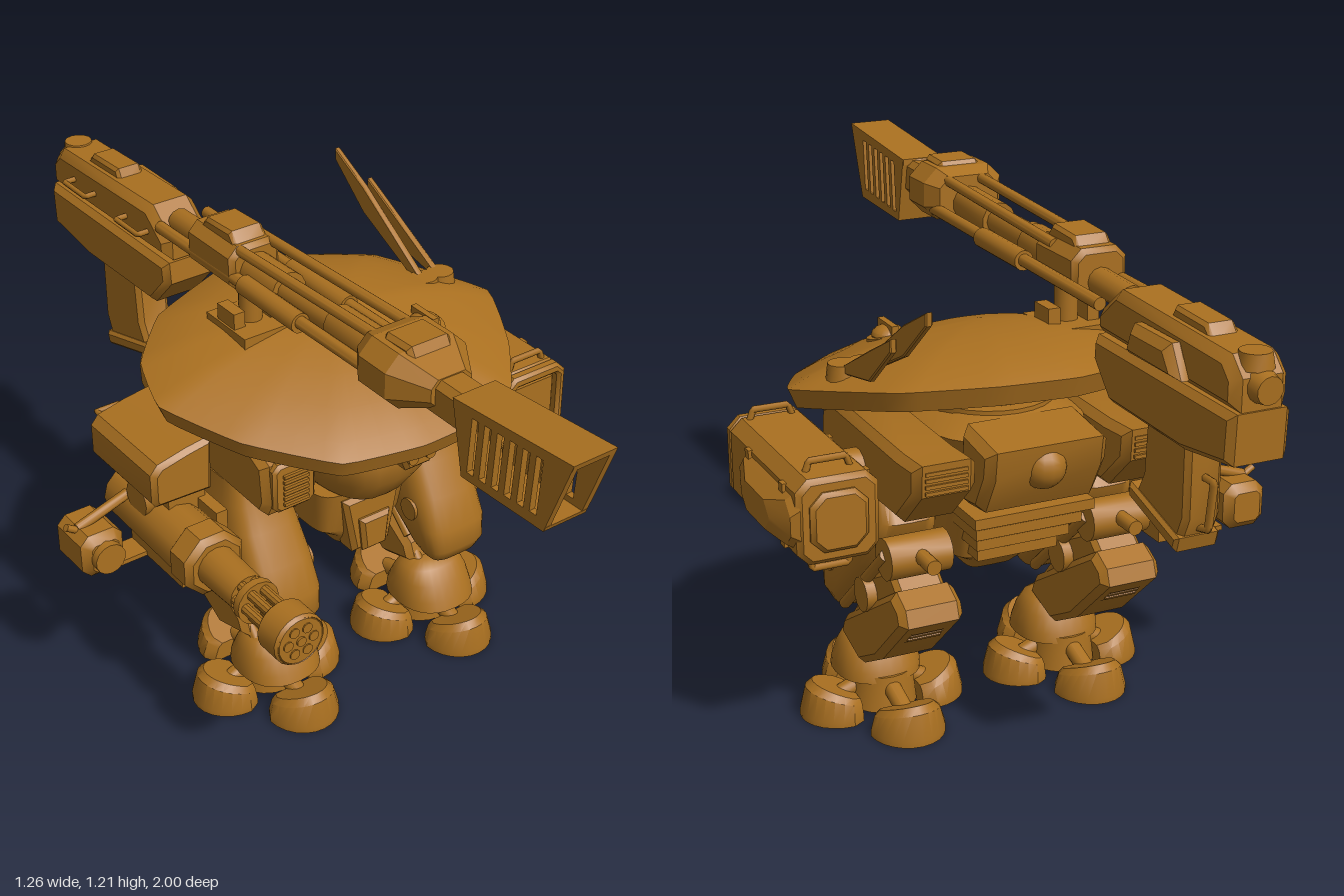
import * as THREE from 'three';
import { toCreasedNormals } from 'three/addons/utils/BufferGeometryUtils.js';

const bronze = new THREE.MeshStandardMaterial({ color: 0xaa7020 });
bronze.name = 'bronze';
const V = (p) => new THREE.Vector3(...p);

function add(parent, name, geo, crease = 0.6) {
  const m = new THREE.Mesh(crease ? toCreasedNormals(geo, crease) : geo, bronze);
  m.name = name;
  parent.add(m);
  return m;
}
function group(parent, name, x = 0, y = 0, z = 0) {
  const g = new THREE.Group();
  g.name = name;
  g.position.set(x, y, z);
  parent.add(g);
  return g;
}
function box(parent, name, x0, x1, y0, y1, z0, z1) {
  const g = new THREE.BoxGeometry(x1 - x0, y1 - y0, z1 - z0);
  return add(parent, name, g.translate((x0 + x1) / 2, (y0 + y1) / 2, (z0 + z1) / 2), 0);
}
function extrude(pts, depth, bevel, holes) {
  const toV = (l) => l.map((p) => new THREE.Vector2(...p));
  const s = new THREE.Shape(toV(pts));
  holes.forEach((h) => s.holes.push(new THREE.Path(toV(h))));
  return new THREE.ExtrudeGeometry(s, { depth: depth - 2 * bevel, bevelEnabled: bevel > 0, bevelSize: bevel,
    bevelThickness: bevel, bevelOffset: -bevel, bevelSegments: 1 }).translate(0, 0, bevel);
}
// Outline in (x, y), running along z
const frontExt = (parent, name, pts, z0, z1, bevel = 0, holes = []) =>
  add(parent, name, extrude(pts, z1 - z0, bevel, holes).translate(0, 0, z0));
// Outline in (z, y), running along x
const sideExt = (parent, name, pts, x0, x1, bevel = 0, holes = []) =>
  add(parent, name, extrude(pts, x1 - x0, bevel, holes).rotateY(-Math.PI / 2).translate(x1, 0, 0));
// Round bar between two points
function rod(parent, name, a, b, r, r2 = r, n = 14) {
  const d = V(b).sub(V(a));
  const g = new THREE.CylinderGeometry(r2, r, d.length(), n);
  g.applyQuaternion(new THREE.Quaternion().setFromUnitVectors(new THREE.Vector3(0, 1, 0), d.normalize()));
  const c = V(a).add(V(b)).multiplyScalar(0.5);
  return add(parent, name, g.translate(c.x, c.y, c.z));
}
// Bent bar through several points
function handle(parent, name, pts, r = 0.007) {
  const path = new THREE.CurvePath();
  for (let i = 1; i < pts.length; i++) path.add(new THREE.LineCurve3(V(pts[i - 1]), V(pts[i])));
  add(parent, name, new THREE.TubeGeometry(path, 24, r, 6), 0);
}
// Skin over matching rings, capped at both ends
function loft(rings) {
  const n = rings[0].length, pos = rings.flat(2), idx = [];
  for (let i = 0; i < rings.length - 1; i++) for (let j = 0; j < n; j++) {
    const a = i * n + j, b = i * n + (j + 1) % n;
    idx.push(a, b, b + n, a, b + n, a + n);
  }
  [0, rings.length - 1].forEach((k) => {
    const c = pos.length / 3;
    [0, 1, 2].forEach((q) => pos.push(rings[k].reduce((s, p) => s + p[q], 0) / n));
    for (let j = 0; j < n; j++) {
      const a = k * n + j, b = k * n + (j + 1) % n;
      idx.push(c, k ? a : b, k ? b : a);
    }
  });
  const g = new THREE.BufferGeometry();
  g.setAttribute('position', new THREE.Float32BufferAttribute(pos, 3));
  g.setIndex(idx);
  return g;
}
// Horizontal rounded ring: height, half width, front z, back z
const ovalRing = ([y, hw, zf, zb], pw = 0.7, n = 28) => Array.from({ length: n }, (_, j) => {
  const t = j / n * Math.PI * 2, f = (v) => Math.sign(v) * Math.abs(v) ** pw;
  return [hw * f(Math.sin(t)), y, (zf + zb) / 2 + (zf - zb) / 2 * f(Math.cos(t))];
});
const ngon = (cx, cy, r, n = 8) => Array.from({ length: n }, (_, j) => {
  const t = (j + 0.5) / n * Math.PI * 2;
  return [cx + r * Math.cos(t), cy + r * Math.sin(t)];
});
const chamfered = (x0, x1, y0, y1, c) => [[x0 + c, y0], [x1 - c, y0], [x1, y0 + c], [x1, y1 - c],
  [x1 - c, y1], [x0 + c, y1], [x0, y1 - c], [x0, y0 + c]];
function slats(parent, x0, x1, y0, y1, z0, z1, n) {
  const h = (y1 - y0) / n;
  for (let i = 0; i < n; i++) box(parent, 'ventSlat', x0, x1, y0 + i * h, y0 + (i + 0.55) * h, z0, z1);
}

function buildShell(root) {
  const g = group(root, 'shell');
  const outline = [[-.435, -.09], [-.34, .1], [-.18, .265], [.02, .305], [.16, .3], [.32, .25], [.43, .11],
    [.515, -.075], [.35, -.32], [.16, -.42], [-.02, -.455], [-.26, -.37], [-.39, -.24]];
  const curve = new THREE.CatmullRomCurve3(outline.map(([x, z]) => V([x, 0, z])), true, 'catmullrom', 0.15);
  const base = curve.getPoints(52).slice(0, 52);
  const cx = 0.04, cz = -0.08;
  const rings = [[.35, -.045], [.8, -.055], [.96, -.046], [1, 0], [.9, .022], [.72, .052], [.5, .077], [.25, .097], [.03, .103]];
  add(g, 'carapace', loft(rings.map(([k, dy]) => base.map((p) => {
    const z = cz + (p.z - cz) * k;
    return [cx + (p.x - cx) * k, 0.844 - 0.178 * z + dy, z];
  }))), 0.7);
  // Roof hatch
  rod(g, 'hatchRing', [.22, .88, .03], [.225, .916, .037], .056, .052, 20);
  add(g, 'hatchDome', new THREE.SphereGeometry(.04, 16, 8).scale(1, .6, 1).translate(.225, .914, .037));
  box(g, 'hatchBar', .217, .233, .91, .944, -.005, .08);
  // Swept-back blade aerials
  [[.355, .49, 1.13], [.405, .42, 1.06]].forEach(([x, l, top]) => {
    rod(g, 'aerialBase', [x, .86, -.13], [x, .922, -.13], .042, .034, 16);
    sideExt(g, 'aerial', [[-.12, .905], [-.17, .905], [-l + .12, top - .13], [-l, top - .03], [-l, top], [-l + .12, top - .06]], x - .008, x + .008, .003);
  });
}

function buildTorso(m) {
  const g = group(m, 'torso');
  rod(g, 'neck', [0, .72, -.12], [0, .84, -.12], .13, .11, 24);
  rod(g, 'neckRing', [0, .775, -.12], [0, .8, -.12], .15, .15, 24);
  add(g, 'hull', loft([[.53, .06, .08, -.22], [.555, .11, .14, -.27], [.62, .15, .185, -.31],
    [.7, .172, .2, -.33], [.755, .2, .16, -.34], [.79, .13, .08, -.28]].map((r) => ovalRing(r))), 0.9);
  add(g, 'pelvis', loft([[.365, .06, .03, -.14], [.4, .08, .05, -.18], [.43, .125, .06, -.22], [.55, .14, .08, -.26]]
    .map((r) => ovalRing(r, .35))), 0.5);
  frontExt(g, 'pelvisPlate', [[-.055, .37], [.055, .37], [.085, .53], [-.085, .53]], .02, .09, .012);
  frontExt(g, 'pelvisRidge', [[-.035, .375], [.035, .375], [.045, .47], [-.045, .47]], .08, .105, .01);
  for (let i = 0; i < 4; i++) box(g, 'rearRib', -.15 + i * .016, .15 - i * .016, .565 - i * .04, .59 - i * .04, -.36 + i * .03, -.1);
  sideExt(g, 'rearPack', [[-.28, .6], [-.37, .61], [-.42, .7], [-.43, .77], [-.28, .79]], -.15, .15, .02);
  add(g, 'rearDome', new THREE.SphereGeometry(.055, 16, 12).translate(0, .71, -.39));
  frontExt(g, 'sensor', [[-.035, .7], [.035, .7], [.065, .775], [-.065, .775]], .1, .265, .01);
  [-1, 1].forEach((s) => {
    rod(g, 'sensorEye', [s * .025, .735, .25], [s * .025, .735, .275], .014);
    [.43, .47, .515].forEach((y) => rod(g, 'hipPiston', [0, y, -.06], [s * .19, y, -.06], .011));
    rod(g, 'hipAxle', [s * .1, .68, -.12], [s * .22, .68, -.12], .075, .075, 20);
  });
}

function buildLeg(m, s) {
  const g = group(m, s > 0 ? 'leftLeg' : 'rightLeg', s * .255);
  // Hip housing with front and rear vents
  sideExt(g, 'hipHousing', [[.1, .6], [.12, .64], [.11, .74], [.04, .775], [-.34, .77], [-.44, .775], [-.435, .7], [-.34, .61]], -.075, .075, .018);
  frontExt(g, 'frontVentFrame', chamfered(-.058, .058, .615, .745, .015), .1, .13, .008);
  slats(g, -.034, .034, .635, .725, .125, .137, 6);
  slats(g, -.05, .05, .705, .765, -.442, -.42, 4);
  // Thigh armour
  add(g, 'thigh', loft([[.238, .045, .1, .05], [.248, .068, .115, .035], [.28, .086, .13, .01], [.34, .095, .127, -.065], [.42, .096, .09, -.15],
    [.5, .092, .045, -.225], [.56, .083, .012, -.245], [.62, .076, -.01, -.2]].map((r) => ovalRing(r, .55))), 0.9);
  rod(g, 'kneeDisc', [-.1, .38, .03], [.1, .38, .03], .03);
  rod(g, 'hockAxle', [-.075, .49, -.26], [.075, .49, -.26], .05);
  rod(g, 'hockStub', [0, .5, -.25], [0, .5, -.37], .018);
  // Linkage and shin
  rod(g, 'linkAxle', [-.085, .355, -.14], [.085, .355, -.14], .042);
  sideExt(g, 'link', [[-.04, .31], [-.06, .36], [-.25, .46], [-.3, .42], [-.28, .36], [-.12, .31]], -.06, .06, .012);
  [-.07, .07].forEach((x) => rod(g, 'legPiston', [x, .5, -.26], [x, .27, 0], .014));
  sideExt(g, 'shin', [[.02, .19], [0, .24], [-.3, .425], [-.35, .4], [-.365, .36], [-.21, .215], [-.1, .155]], -.078, .078, .016);
  const vent = group(g, 'hockVent', 0, .36, -.285);
  vent.rotation.x = -.7;
  frontExt(vent, 'ventFrame', chamfered(-.06, .06, -.055, .055, .015), -.05, -.02, .006);
  slats(vent, -.04, .04, -.035, .035, -.056, -.045, 4);
  [-.05, .05].forEach((x) => rod(g, 'anklePiston', [x, .3, -.08], [x, .15, .05], .014));
  // Foot: domed ankle and four toes in a cross
  const f = group(g, 'foot', s * -.01, 0, -.025);
  add(f, 'ankleGuard', loft([[.085, .105, .15, -.07], [.11, .104, .14, -.065], [.15, .095, .12, -.045], [.185, .08, .095, -.025], [.2, .055, .065, 0]]
    .map((r) => ovalRing(r, .85))), 0.9);
  rod(f, 'footHub', [0, .012, 0], [0, .1, 0], .085, .075, 18);
  const d = [[.075, 0], [-.075, 0]];
  for (let i = 0; i <= 12; i++) {
    const a = (i / 12 - .5) * Math.PI;
    d.push([.092 * Math.sin(a), .03 + .1 * Math.cos(a)]);
  }
  for (let i = 0; i < 4; i++) {
    const toe = add(f, 'toe', loft([d.map(([x, z]) => [x, 0, z]), d.map(([x, z]) => [x, .014, z]),
      d.map(([x, z]) => [x * .88, .04 + z * .28, z * .89]), d.map(([x, z]) => [x * .72, .05 + z * .32, z * .76])]));
    const r = i % 2 ? .078 : .12;
    toe.rotation.y = i * Math.PI / 2;
    toe.position.set(Math.sin(i * Math.PI / 2) * r, 0, Math.cos(i * Math.PI / 2) * r);
  }
  [[1, 0], [-1, 0], [0, 1], [0, -1]].forEach(([x, z]) => rod(f, 'toeLink', [x * .04, .075, z * .04], [x * .12, .04, z * .15], .022));
}

function buildGunArm(root) {
  const g = group(root, 'rightGunArm');
  rod(g, 'shoulderAxle', [-.38, .68, -.18], [-.2, .68, -.18], .045);
  frontExt(g, 'shoulder', [[-.325, .61], [-.32, .755], [-.39, .745], [-.465, .728], [-.485, .705], [-.485, .63], [-.475, .615]], -.34, -.05, .012);
  handle(g, 'shoulderHandle', [[-.44, .7, -.32], [-.44, .7, -.38], [-.38, .7, -.38], [-.38, .7, -.32]]);
  box(g, 'elbow', -.43, -.33, .53, .63, -.26, -.08);
  rod(g, 'elbowAxle', [-.47, .58, -.16], [-.32, .58, -.16], .045);
  // Rotary gun
  const c = [-.41, .51];
  const seg = (name, z0, z1, r0, r1 = r0, n = 16) => rod(g, name, [...c, z0], [...c, z1], r0, r1, n);
  seg('gunBody', -.3, .03, .07, .075, 12);
  frontExt(g, 'gunCollar', ngon(...c, .085), 0, .09, .015);
  seg('gunSleeve', .08, .22, .052, .048);
  seg('barrelClamp', .24, .26, .055);
  frontExt(g, 'muzzleRing', ngon(...c, .066, 20), .345, .425, .008, [ngon(...c, .053, 20)]);
  seg('muzzleHub', .345, .4, .055);
  for (let i = 0; i < 6; i++) {
    const a = i * Math.PI / 3, x = c[0] + .034 * Math.cos(a), y = c[1] + .034 * Math.sin(a);
    rod(g, 'gunBarrel', [x, y, .2], [x, y, .428], .013, .013, 10);
  }
  seg('gunShaft', .2, .43, .012);
  // Ammunition drum and feed
  frontExt(g, 'ammoDrum', chamfered(-.622, -.51, .405, .52, .022), -.3, -.15, .02);
  rod(g, 'drumCap', [-.565, .463, -.16], [-.565, .463, -.13], .04);
  box(g, 'lowerFeed', -.53, -.36, .39, .402, -.25, -.18);
  box(g, 'gunFoot', -.44, -.35, .39, .45, -.25, -.02);
  rod(g, 'upperFeed', [-.6, .515, -.22], [-.46, .56, -.22], .013);
  rod(g, 'drumLatch', [-.6, .51, -.22], [-.63, .53, -.22], .009);
  box(g, 'gunBracket', -.35, -.32, .47, .58, -.22, 0);
}

function buildPodArm(root) {
  const g = group(root, 'leftPodArm');
  rod(g, 'podAxle', [.28, .66, -.12], [.42, .66, -.12], .05);
  const outline = chamfered(.4, .592, .535, .735, .028);
  frontExt(g, 'podBody', outline, -.32, .125, .012);
  frontExt(g, 'podFrame', outline, .115, .148, .008, [chamfered(.43, .568, .565, .705, .008)]);
  box(g, 'podDoor', .44, .558, .575, .695, .12, .135);
  frontExt(g, 'podRear', chamfered(.43, .565, .565, .705, .03), -.335, -.3, .01);
  // Tapered side bulge
  const bulge = [[.585, -.32, .03, .57, .7], [.605, -.31, .02, .58, .685], [.63, -.24, -.06, .595, .665]];
  add(g, 'sideBulge', loft(bulge.map(([x, z0, z1, y0, y1]) =>
    chamfered(z0, z1, y0, y1, .03).map(([z, y]) => [x, y, z]).reverse())), 0.3);
  [-.24, -.02].forEach((z) => box(g, 'podStrap', .395, .6, .56, .71, z - .012, z + .012));
  [[.73, .757], [.54, .503]].forEach(([y0, y1]) => [.1, -.26].forEach((z) =>
    handle(g, 'podHandle', [[.445, y0, z], [.455, y1, z], [.54, y1, z], [.55, y0, z]], .008)));
}

function buildCannon(root) {
  const g = group(root, 'cannon', -.135);
  // Slotted muzzle box
  const profile = [[1, 1.2], [.93, 1.01], [.68, 1], [.645, 1.17]];
  const slots = Array.from({ length: 6 }, (_, i) => {
    const z = .917 - i * .038, b = 1.035 - i * .003, t = 1.168 - i * .003;
    return [[z, t], [z - .02, t], [z - .03, b], [z - .01, b]];
  });
  [-.055, .04].forEach((x) => sideExt(g, 'muzzleSide', profile, x, x + .015, 0, slots));
  sideExt(g, 'muzzleTop', [[1, 1.2], [.645, 1.17], [.645, 1.155], [.995, 1.185]], -.054, .054);
  sideExt(g, 'muzzleFloor', [[.935, 1.022], [.93, 1.01], [.68, 1], [.68, 1.015]], -.054, .054);
  sideExt(g, 'muzzleBack', [[.665, 1.17], [.645, 1.17], [.68, 1], [.7, 1]], -.054, .054);
  frontExt(g, 'bore', ngon(0, 1.13, .042), .64, .76, .004, [ngon(0, 1.13, .03)]);
  // Collar behind the muzzle
  frontExt(g, 'muzzleNeck', chamfered(-.042, .042, 1.075, 1.165, .015), .5, .67);
  const collar = [[.36, .75], [.4, 1], [.49, 1], [.575, .5]].map(([z, k]) =>
    chamfered(-.105 * k, .105 * k, 1.135 - .065 * k, 1.135 + .065 * k, .035 * k).map(([x, y]) => [x, y, z]));
  add(g, 'collar', loft(collar), 0.3);
  sideExt(g, 'collarRidge', [[.53, 1.16], [.5, 1.213], [.42, 1.21], [.38, 1.15]], -.055, .055, .01);
  // Barrel and its guide rods
  rod(g, 'barrel', [0, 1.115, .42], [0, 1.085, -.46], .032, .032, 12);
  rod(g, 'barrelJacket', [0, 1.113, .36], [0, 1.108, .19], .044);
  rod(g, 'barrelBreech', [0, 1.1, 0], [0, 1.095, -.2], .046);
  [-.045, .065].forEach((x) => {
    rod(g, 'topRod', [x * .8, 1.175, .42], [x * .8, 1.15, -.2], .013);
    rod(g, 'sideRod', [x * 1.2, 1.1, .42], [x * 1.2, 1.085, -.46], .015);
    rod(g, 'damper', [x * 1.2, 1.092, .12], [x * 1.2, 1.09, -.1], .024);
  });
  frontExt(g, 'cradle', chamfered(-.068, .068, 1.05, 1.165, .025), -.32, -.13, .012);
  sideExt(g, 'cradleTop', [[-.14, 1.15], [-.17, 1.19], [-.27, 1.185], [-.3, 1.15]], -.045, .045, .008);
  rod(g, 'mountPost', [0, .9, -.16], [0, 1.07, -.16], .028);
  box(g, 'mountPlate', -.07, .07, .93, .96, -.24, -.08);
  [-.05, .05].forEach((x) => box(g, 'mountCheek', x - .015, x + .015, .94, 1.0, -.2, -.13));
  // Receiver, lower housing and grip
  sideExt(g, 'receiver', [[-.5, 1.125], [-.93, 1.11], [-.97, 1.07], [-.97, 1], [-.42, 1.01], [-.42, 1.06]], -.066, .066, .02);
  sideExt(g, 'receiverTop', [[-.67, 1.1], [-.69, 1.14], [-.81, 1.135], [-.84, 1.1]], -.035, .035, .008);
  rod(g, 'rearCap', [0, 1.05, -.95], [0, 1.048, -.998], .04, .03);
  rod(g, 'rearKnob', [0, 1.08, -.94], [0, 1.115, -.94], .04, .034);
  sideExt(g, 'lowerHousing', [[-.42, 1.005], [-.975, 1], [-.97, .89], [-.79, .865], [-.49, .87], [-.415, .95]], -.072, .072, .015);
  sideExt(g, 'sideBump', [[-.6, 1.02], [-.62, 1.09], [-.77, 1.09], [-.81, 1.02]], .05, .103, .018);
  sideExt(g, 'grip', [[-.61, .9], [-.78, .9], [-.78, .7], [-.75, .63], [-.565, .68], [-.6, .75]], -.045, .045, .012);
  sideExt(g, 'gripFoot', [[-.56, .71], [-.765, .655], [-.755, .62], [-.56, .675]], -.055, .055, .008);
  handle(g, 'gripHandle', [[0, .79, -.77], [0, .79, -.815], [0, .68, -.8], [0, .67, -.76]], .009);
  [-.55, -.8].forEach((z) => handle(g, 'receiverHandle', [[-.06, 1.06, z + .05], [-.095, 1.06, z + .05], [-.095, 1.06, z - .05], [-.06, 1.06, z - .05]]));
}

export function createModel() {
  const root = new THREE.Group();
  root.name = 'walkerRobot';
  const mech = group(root, 'chassis', .04);
  buildTorso(mech);
  [-1, 1].forEach((s) => buildLeg(mech, s));
  buildShell(root);
  buildGunArm(root);
  buildPodArm(root);
  buildCannon(root);
  return root;
}
